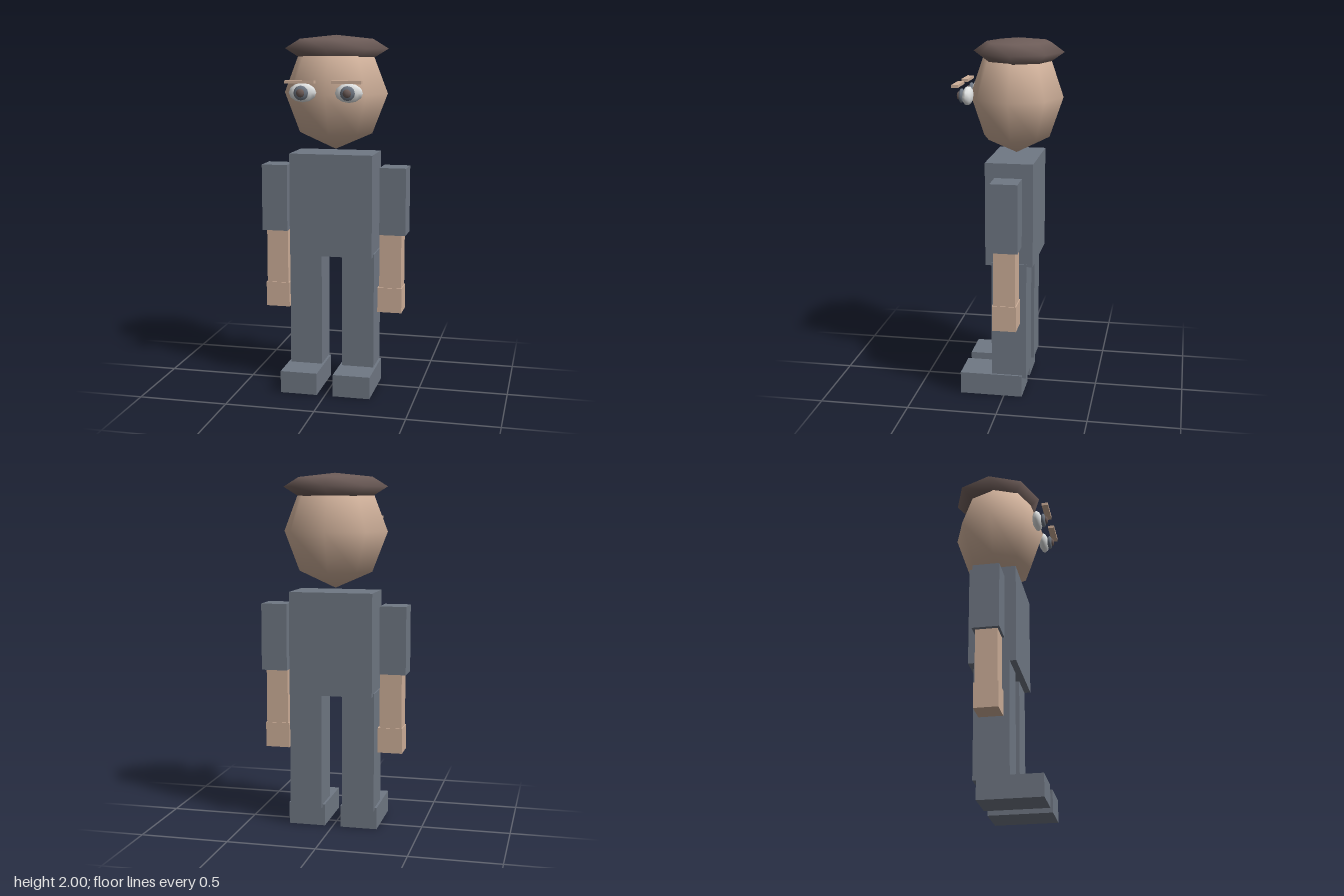
import * as THREE from 'three';

const material = (name, color) => {
  const m = new THREE.MeshStandardMaterial({ color });
  m.name = name;
  return m;
};

export function createModel() {
  const cloth = material('slate cloth', 0x707884);
  const skin = material('skin', 0xcfb09a);
  const brown = material('cap brown', 0x6e5d59);
  const white = material('eye white', 0xe2e4e4);

  const model = new THREE.Group();
  model.name = 'blockFigure';

  // Box given by its min and max corners
  const box = (parent, name, mat, [x0, x1], [y0, y1], [z0, z1]) => {
    const mesh = new THREE.Mesh(new THREE.BoxGeometry(Math.abs(x1 - x0), y1 - y0, z1 - z0), mat);
    mesh.position.set((x0 + x1) / 2, (y0 + y1) / 2, (z0 + z1) / 2);
    mesh.name = name;
    parent.add(mesh);
  };

  // Smooth, low-segment ellipsoid
  const ellipsoid = (parent, name, mat, centre, radii, rows = 4) => {
    const geo = new THREE.SphereGeometry(1, 8, rows).scale(...radii);
    const mesh = new THREE.Mesh(geo, mat);
    mesh.position.set(...centre);
    mesh.name = name;
    parent.add(mesh);
  };

  // Head, cap and torso
  ellipsoid(model, 'head', skin, [0, 1.68, -0.03], [0.296, 0.315, 0.26]);
  ellipsoid(model, 'cap', brown, [0, 1.925, -0.041], [0.297, 0.075, 0.252]);
  box(model, 'torso', cloth, [-0.236, 0.236], [0.769, 1.347], [-0.159, 0.106]);

  // Mirrored limbs and face details
  for (const [side, s] of [['left', 1], ['right', -1]]) {
    const span = (a, b) => [a * s, b * s];

    const arm = new THREE.Group();
    arm.name = side + 'Arm';
    box(arm, 'sleeve', cloth, span(0.267, 0.415), [0.894, 1.273], [-0.103, 0.047]);
    box(arm, 'forearm', skin, span(0.267, 0.391), [0.586, 0.894], [-0.088, 0.034]);
    box(arm, 'hand', skin, span(0.258, 0.396), [0.446, 0.588], [-0.093, 0.04]);

    const leg = new THREE.Group();
    leg.name = side + 'Leg';
    box(leg, 'trouserLeg', cloth, span(0.059, 0.243), [0.109, 0.785], [-0.125, 0.071]);
    box(leg, 'shoe', cloth, span(0.046, 0.256), [0, 0.125], [-0.103, 0.25]);

    const eye = new THREE.Group();
    eye.name = side + 'Eye';
    ellipsoid(eye, 'eyeball', white, [0.128 * s, 1.693, 0.218], [0.077, 0.052, 0.029], 6);
    ellipsoid(eye, 'iris', cloth, [0.128 * s, 1.693, 0.253], [0.041, 0.04, 0.016], 6);
    ellipsoid(eye, 'pupil', brown, [0.128 * s, 1.693, 0.268], [0.023, 0.023, 0.012], 6);
    box(eye, 'eyebrow', skin, span(0.047, 0.209), [1.745, 1.761], [0.255, 0.291]);

    model.add(arm, leg, eye);
  }
  return model;
}
